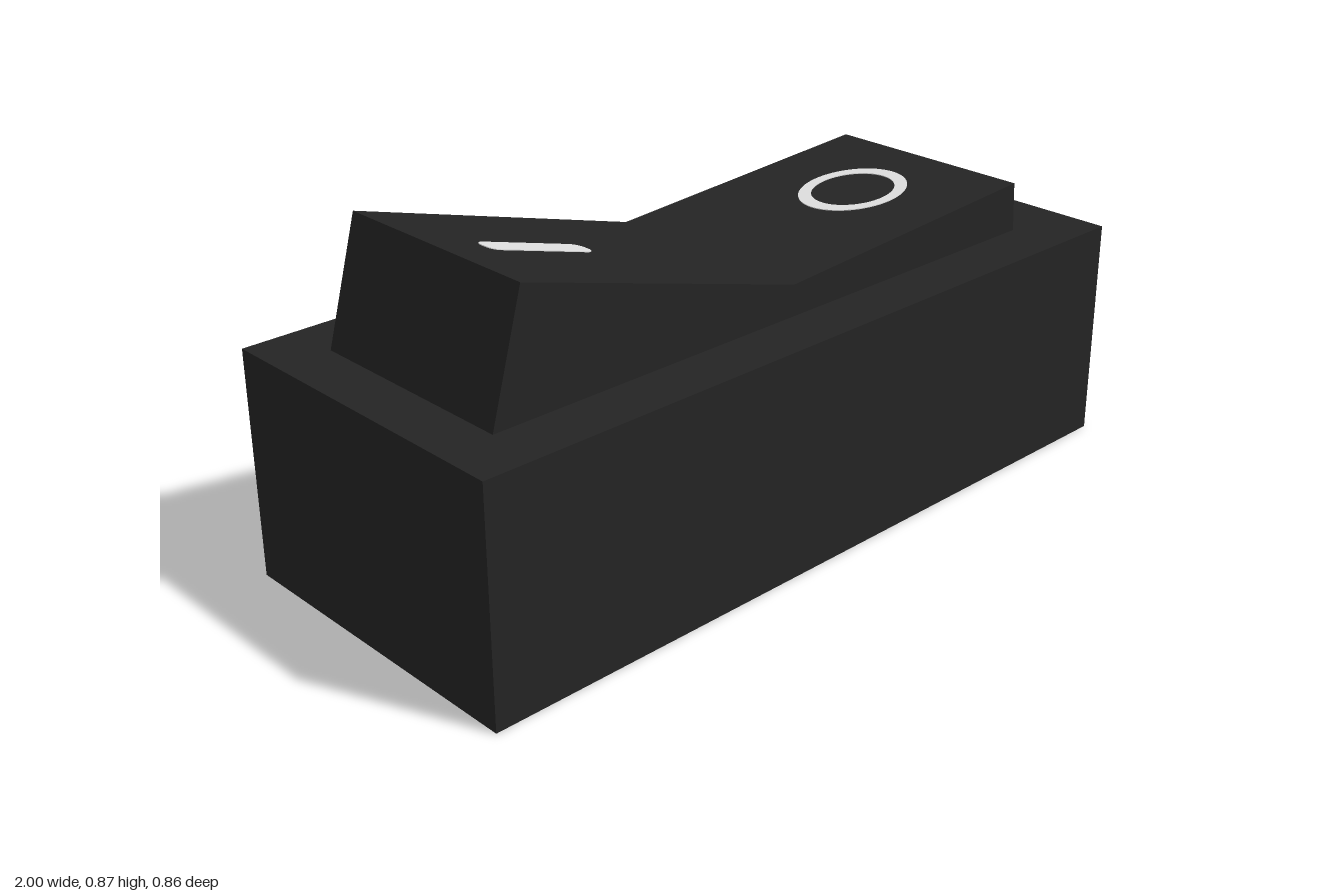
import * as THREE from 'three';

const dark = new THREE.MeshStandardMaterial({ color: 0x242424 });
dark.name = 'black plastic';
const light = new THREE.MeshStandardMaterial({ color: 0xdedede });
light.name = 'light grey marking';

const BODY_HEIGHT = 0.572;
const PIVOT_HEIGHT = 0.65;

function part(name, geometry, material) {
  const mesh = new THREE.Mesh(geometry, material);
  mesh.name = name;
  return mesh;
}

// Thin plate lying on a rocker slope that runs through the central crease
function marking(name, shape, centre, rise) {
  const geometry = new THREE.ExtrudeGeometry(shape, { depth: 0.002, bevelEnabled: false, curveSegments: 32 });
  geometry.rotateX(-Math.PI / 2);
  const mesh = part(name, geometry, light);
  mesh.position.set(centre, PIVOT_HEIGHT + centre * rise, 0);
  mesh.rotation.z = Math.atan(rise);
  return mesh;
}

export function createModel() {
  const group = new THREE.Group();
  group.name = 'rockerSwitch';

  // Housing
  const body = part('body', new THREE.BoxGeometry(2, BODY_HEIGHT, 0.856), dark);
  body.position.y = BODY_HEIGHT / 2;
  group.add(body);

  // Rocker: side profile extruded across the width
  const profile = new THREE.Shape([
    [-0.865, BODY_HEIGHT], [0.813, BODY_HEIGHT], [0.805, 0.7], [0, PIVOT_HEIGHT], [-0.78, 0.874],
  ].map(([x, y]) => new THREE.Vector2(x, y)));
  const rocker = new THREE.ExtrudeGeometry(profile, { depth: 0.572, bevelEnabled: false });
  rocker.translate(0, 0, -0.286);
  group.add(part('rocker', rocker, dark));

  // On mark: bar with rounded corners
  const hx = 0.147, hz = 0.032, r = 0.025;
  const bar = new THREE.Shape();
  bar.absarc(hx - r, hz - r, r, 0, Math.PI / 2);
  bar.absarc(r - hx, hz - r, r, Math.PI / 2, Math.PI);
  bar.absarc(r - hx, r - hz, r, Math.PI, Math.PI * 1.5);
  bar.absarc(hx - r, r - hz, r, Math.PI * 1.5, Math.PI * 2);
  group.add(marking('onMark', bar, -0.511, (PIVOT_HEIGHT - 0.874) / 0.78));

  // Off mark: oval ring
  const ring = new THREE.Shape();
  ring.absellipse(0, 0, 0.155, 0.122, 0, Math.PI * 2);
  const hole = new THREE.Path();
  hole.absellipse(0, 0, 0.117, 0.095, 0, Math.PI * 2, true);
  ring.holes.push(hole);
  group.add(marking('offMark', ring, 0.515, (0.7 - PIVOT_HEIGHT) / 0.805));

  return group;
}
